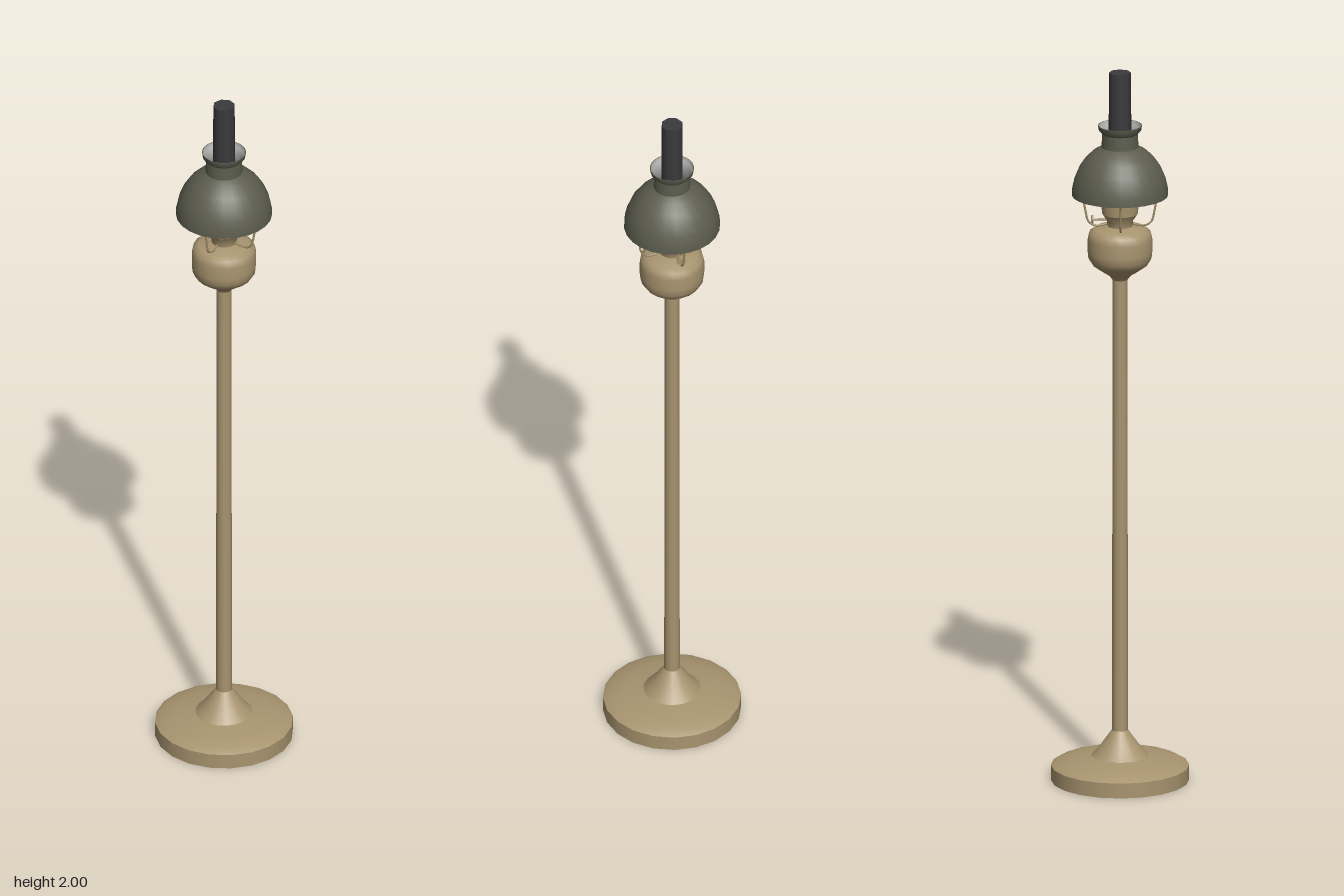
import * as THREE from 'three';

const material = (name, color, side = THREE.FrontSide) => {
  const m = new THREE.MeshStandardMaterial({ color, side });
  m.name = name;
  return m;
};

export function createModel() {
  const group = new THREE.Group();
  const brass = material('aged brass', 0xa8946f, THREE.DoubleSide);
  const green = material('olive enamel', 0x5c5d4e);
  const lining = material('pale lining', 0xb4b4b2);
  const glass = material('smoked glass', 0x3a3a3d, THREE.DoubleSide);

  const add = (name, geometry, mat, parent = group) => {
    const mesh = new THREE.Mesh(geometry, mat);
    mesh.name = name;
    parent.add(mesh);
    return mesh;
  };
  // Profiles are [radius, height] pairs; separate profiles keep creases sharp
  const turn = (name, mat, sides, ...profiles) => profiles.forEach((p) =>
    add(name, new THREE.LatheGeometry(p.map(([r, y]) => new THREE.Vector2(r, y)), sides), mat));

  // Hollow foot and pole
  turn('foot', brass, 20,
    [[0.188, 0], [0.188, 0.042]],
    [[0.188, 0.042], [0.17, 0.052], [0.13, 0.062], [0.078, 0.069]],
    [[0.078, 0.069], [0.06, 0.088], [0.043, 0.112], [0.03, 0.13], [0.022, 0.141]]);
  turn('pole', brass, 12, [[0.0215, 0.138], [0.0205, 1.43]]);

  // Oil reservoir
  turn('reservoir', brass, 20,
    [[0.021, 1.415], [0.03, 1.427], [0.05, 1.44], [0.075, 1.458], [0.086, 1.475],
      [0.088, 1.495], [0.088, 1.53], [0.084, 1.549], [0.07, 1.56], [0.035, 1.567]],
    [[0.035, 1.567], [0, 1.567]]);

  // Burner with a crown of small prongs
  turn('burner', brass, 16,
    [[0.034, 1.565], [0.036, 1.582], [0.049, 1.602]],
    [[0.049, 1.602], [0.051, 1.635]],
    [[0.051, 1.635], [0, 1.637]]);
  for (let i = 0; i < 12; i++) {
    const a = (i / 12) * Math.PI * 2;
    const prong = add('crownProng', new THREE.BoxGeometry(0.014, 0.028, 0.004), brass);
    prong.position.set(Math.sin(a) * 0.05, 1.646, Math.cos(a) * 0.05);
    prong.rotation.y = a;
  }

  // Wick knob at the back
  const stem = add('knobStem', new THREE.CylinderGeometry(0.003, 0.003, 0.045, 6), brass);
  stem.rotation.x = Math.PI / 2;
  stem.position.set(0, 1.585, -0.053);
  const knob = add('wickKnob', new THREE.CylinderGeometry(0.012, 0.012, 0.006, 10), brass);
  knob.rotation.x = Math.PI / 2;
  knob.position.set(0, 1.585, -0.075);

  // Four wire arms carrying the shade
  const path = new THREE.CatmullRomCurve3([
    [0.035, 1.572], [0.068, 1.568], [0.086, 1.58], [0.094, 1.61], [0.102, 1.645], [0.12, 1.662],
  ].map(([x, y]) => new THREE.Vector3(x, y, 0)));
  const wire = new THREE.TubeGeometry(path, 16, 0.003, 5);
  for (let i = 0; i < 4; i++) add('shadeArm', wire, brass).rotation.y = (i * Math.PI) / 2;

  // Domed shade with a flared collar, plus its pale inner skin
  const dome = [[0.131, 1.654], [0.13, 1.675], [0.124, 1.702], [0.112, 1.731],
    [0.094, 1.757], [0.072, 1.778], [0.05, 1.79]];
  const collar = [[0.05, 1.79], [0.049, 1.828]];
  const lip = [[0.049, 1.828], [0.058, 1.838], [0.06, 1.851]];
  turn('shade', green, 24, dome, collar, lip);
  const inner = [...dome, collar[1], ...lip.slice(1)].map(([r, y]) => [r - 0.002, y]).reverse();
  turn('shadeLining', lining, 24, inner);
  const rim = (r, y, mat) => {
    const ring = add('shadeRim', new THREE.RingGeometry(r - 0.002, r, 24), mat);
    ring.rotation.x = mat === green && y > 1.8 ? -Math.PI / 2 : Math.PI / 2;
    ring.position.y = y;
  };
  rim(0.131, 1.654, green);
  rim(0.06, 1.851, green);

  // Chimney, bulging inside the shade
  turn('chimney', glass, 8,
    [[0.042, 1.638], [0.055, 1.665], [0.058, 1.69], [0.048, 1.725], [0.035, 1.76], [0.031, 1.8]],
    [[0.031, 1.8], [0.03, 2]],
    [[0.03, 2], [0, 2]]);

  return group;
}
